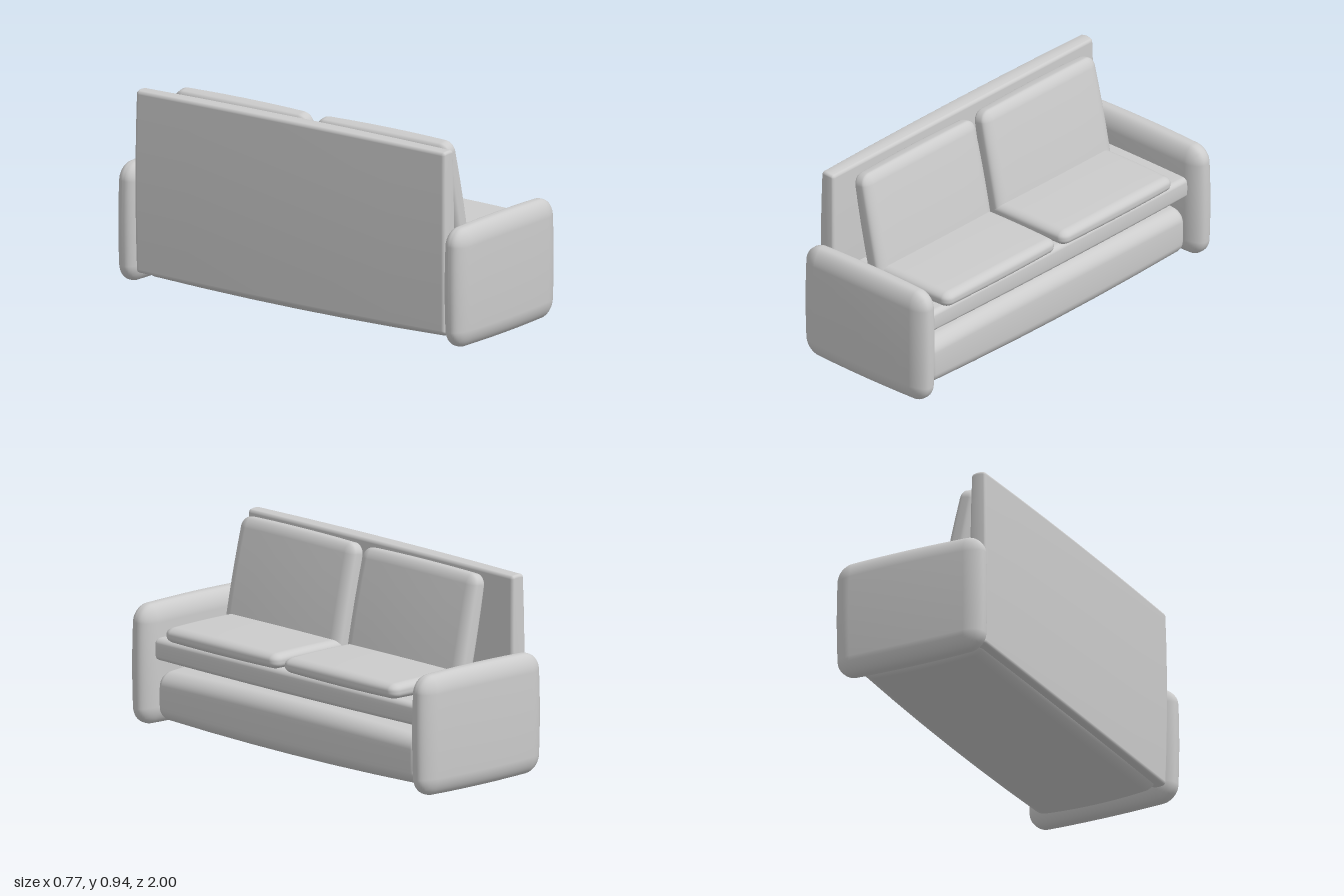
import * as THREE from 'three';
import { mergeVertices } from 'three/addons/utils/BufferGeometryUtils.js';

const material = new THREE.MeshStandardMaterial({ color: 0xcccccc });
const AXES = ['x', 'y', 'z'];

// Upholstered block: full size, corner radius per axis, and how far each face
// falls away from its middle towards its edges.
function padGeometry(size, radius, bulge) {
  const n = 16, corner = 5;
  let geo = new THREE.BoxGeometry(2, 2, 2, n, n, n);
  geo.deleteAttribute('uv');
  geo.deleteAttribute('normal');
  geo = mergeVertices(geo, 1e-4);
  const pos = geo.attributes.position;
  const p = new THREE.Vector3(), q = new THREE.Vector3(), d = new THREE.Vector3();
  for (let i = 0; i < pos.count; i++) {
    p.fromBufferAttribute(pos, i);
    AXES.forEach((a, k) => {
      // spend the outer grid rows on the rounded edge
      const inner = size[k] / 2 - radius[k];
      const t = Math.abs(p[a]) * n / 2, flat = n / 2 - corner;
      const s = Math.sign(p[a]);
      q[a] = s * inner * Math.min(t / flat, 1);
      d[a] = t > flat ? s * Math.tan((t - flat) / corner * Math.PI / 4) : 0;
    });
    if (d.lengthSq() > 0) d.normalize();
    AXES.forEach((a, k) => { p[a] = q[a] + d[a] * radius[k]; });
    const u = AXES.map((a, k) => p[a] / (size[k] / 2));
    AXES.forEach((a, k) => {
      const v = u[(k + 1) % 3], w = u[(k + 2) % 3];
      p[a] -= bulge[k] * u[k] * (v * v + w * w) / 2;
    });
    pos.setXYZ(i, p.x, p.y, p.z);
  }
  geo.computeVertexNormals();
  return geo;
}

function pad(name, size, centre, radius, bulge) {
  const mesh = new THREE.Mesh(padGeometry(size, radius, bulge), material);
  mesh.name = name;
  mesh.position.set(...centre);
  return mesh;
}

export function createModel() {
  const sofa = new THREE.Group();
  sofa.name = 'sofa';

  // Arms at both ends of the length
  for (const s of [-1, 1]) {
    sofa.add(pad(s > 0 ? 'armFront' : 'armBack', [0.766, 0.576, 0.132],
      [0, 0.293, s * 0.934], [0.08, 0.08, 0.055], [0.014, 0.014, 0.012]));
  }

  // Base, seat platform and upright back panel
  sofa.add(pad('base', [0.66, 0.28, 1.75], [-0.005, 0.15, 0], [0.06, 0.07, 0.04], [0.015, 0.03, 0.01]));
  sofa.add(pad('seatPlatform', [0.64, 0.12, 1.78], [0, 0.37, 0], [0.025, 0.025, 0.025], [0.01, 0.008, 0]));
  sofa.add(pad('backPanel', [0.1, 0.885, 1.78], [-0.316, 0.4975, 0], [0.014, 0.014, 0.014], [0.014, 0.012, 0.01]));

  // Seat and back cushions, side by side
  for (const [label, seatZ, backZ] of [['Front', 0.415, 0.425], ['Back', -0.375, -0.385]]) {
    sofa.add(pad('seatCushion' + label, [0.5, 0.085, 0.752], [0.1, 0.46, seatZ],
      [0.04, 0.034, 0.04], [0.008, 0.008, 0.006]));
    const back = pad('backCushion' + label, [0.115, 0.67, 0.77], [-0.127, 0.608, backZ],
      [0.035, 0.05, 0.05], [0.016, 0.01, 0.008]);
    back.rotation.z = 0.215;
    sofa.add(back);
  }
  return sofa;
}
